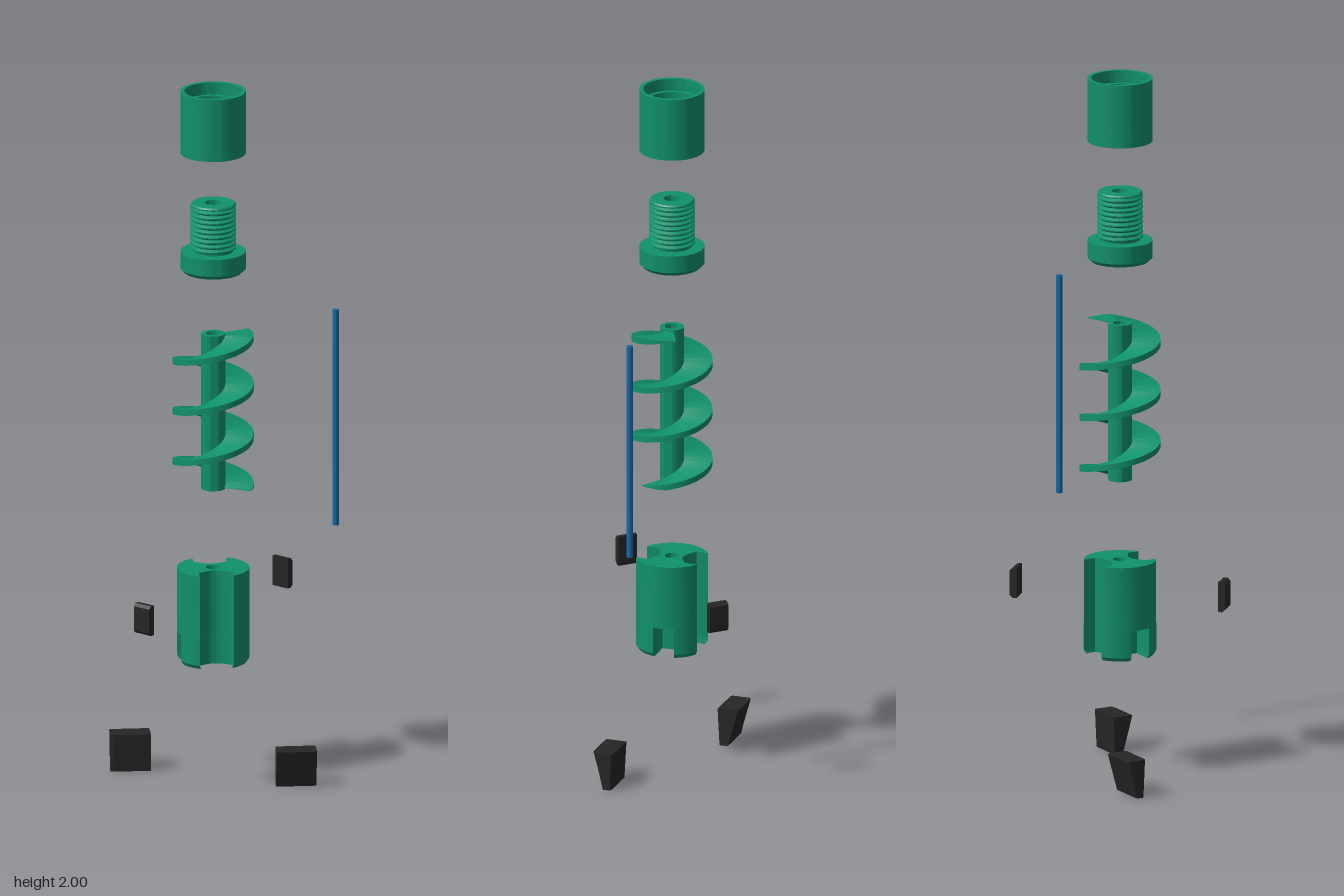
import * as THREE from 'three';
import { toCreasedNormals } from 'three/addons/utils/BufferGeometryUtils.js';

const AXIS = -0.037; // x of the common centre line
const green = new THREE.MeshStandardMaterial({ color: 0x10906c });
const blue = new THREE.MeshStandardMaterial({ color: 0x1668a5 });
const black = new THREE.MeshStandardMaterial({ color: 0x262626 });

function mesh(name, geo, mat, x = 0, y = 0, z = 0) {
  const m = new THREE.Mesh(toCreasedNormals(geo, 0.5), mat);
  m.name = name;
  m.position.set(x, y, z);
  return m;
}

// Closed [radius, height] profile, outside going up and inside coming down
function turned(name, pts) {
  const loop = [...pts, pts[0]].map(([r, y]) => new THREE.Vector2(r, y));
  return mesh(name, new THREE.LatheGeometry(loop, 64), green, AXIS);
}

// Spiral flight: a long box wound round the axis and cut flat at both ends
function flightGeometry() {
  const a0 = -0.5, a1 = Math.PI * 6 + 0.45;
  const geo = new THREE.BoxGeometry(1, 1, 1, 1, 1, 200);
  const p = geo.attributes.position;
  for (let i = 0; i < p.count; i++) {
    const a = a1 - (p.getZ(i) + 0.5) * (a1 - a0);
    const r = p.getX(i) > 0 ? 0.113 : 0.028;
    const y = 0.853 + 0.02316 * a + p.getY(i) * 0.017;
    p.setXYZ(i, r * Math.cos(a), THREE.MathUtils.clamp(y, 0.849, 1.292), -r * Math.sin(a));
  }
  geo.computeVertexNormals();
  return geo;
}

// Plan of the cutter body: two opposite flutes, and optional insert slots in the rim
function bodyShape(slotted) {
  const R = 0.101, half = [];
  const rimY = (x) => Math.sqrt(R * R - x * x);
  const arc = (from, to) => {
    for (let i = 0; i <= 16; i++) {
      const a = from + (to - from) * i / 16;
      half.push([R * Math.cos(a), R * Math.sin(a)]);
    }
  };
  const start = Math.atan2(-rimY(0.05), 0.05), end = Math.atan2(rimY(0.045), 0.045);
  if (slotted) {
    arc(start, Math.asin(-0.02 / R));
    half.push([0.024, -0.02], [0.024, 0.04]);
    arc(Math.asin(0.04 / R), end);
  } else arc(start, end);
  // concave flute floor
  for (let i = 0; i <= 12; i++) {
    const t = i / 12;
    half.push([0.045 - 0.095 * t, 0.055 - 0.022 * Math.sin(Math.PI * t)]);
  }
  const all = [...half, ...half.map(([x, y]) => [-x, -y])];
  const shape = new THREE.Shape(all.map(([x, y]) => new THREE.Vector2(x, y)));
  shape.holes.push(new THREE.Path().absarc(0, 0, 0.02, 0, Math.PI * 2, true));
  return shape;
}

function bodySection(name, slotted, y, height) {
  const geo = new THREE.ExtrudeGeometry(bodyShape(slotted), { depth: height, steps: slotted ? 8 : 1, bevelEnabled: false, curveSegments: 16 });
  if (slotted) { // chamfered foot
    const p = geo.attributes.position;
    for (let i = 0; i < p.count; i++) {
      if (p.getZ(i) < 1e-5 && Math.hypot(p.getX(i), p.getY(i)) > 0.08) p.setXY(i, p.getX(i) * 0.93, p.getY(i) * 0.93);
    }
  }
  geo.rotateX(-Math.PI / 2);
  return mesh(name, geo, green, AXIS, y);
}

// Tapered cutting insert, extruded along x with a small chamfer at its outer end
function insertGeometry() {
  const s = new THREE.Shape([[-0.104, 0.003], [-0.08, 0.003], [-0.074, 0.111], [-0.134, 0.111]].map(([x, y]) => new THREE.Vector2(x, y)));
  const geo = new THREE.ExtrudeGeometry(s, { depth: 0.112, steps: 16, bevelEnabled: false });
  const p = geo.attributes.position;
  for (let i = 0; i < p.count; i++) {
    if (p.getZ(i) > 0.111) p.setX(i, -0.1 + (p.getX(i) + 0.1) * 0.84);
  }
  return geo.rotateY(Math.PI / 2).translate(0.13, 0, 0).translate(0, -0.003 + 0.003, 0);
}

// Side pad with its outer top and bottom edges chamfered
function padGeometry() {
  const s = new THREE.Shape([[-0.01, -0.043], [0.002, -0.043], [0.01, -0.035], [0.01, 0.035], [0.002, 0.043], [-0.01, 0.043]].map(([x, y]) => new THREE.Vector2(x, y)));
  return new THREE.ExtrudeGeometry(s, { depth: 0.056, bevelEnabled: false }).translate(0, 0, -0.028);
}

export function createModel() {
  const g = new THREE.Group();
  g.name = 'explodedDrillAssembly';

  // Collar with a counterbored top
  g.add(turned('collar', [[0.068, 1.82], [0.091, 1.82], [0.091, 2], [0.08, 2], [0.08, 1.965], [0.068, 1.965]]));

  // Threaded plug with a chamfered flange
  const plug = [[0.023, 1.475], [0.08, 1.475], [0.091, 1.486], [0.091, 1.535], [0.055, 1.535]];
  for (let i = 0; i < 9; i++) {
    const y = 1.54 + i * 0.014;
    plug.push([0.055, y], [0.064, y + 0.005], [0.064, y + 0.008], [0.055, y + 0.013]);
  }
  plug.push([0.063, 1.667], [0.063, 1.671], [0.059, 1.675], [0.023, 1.675]);
  g.add(turned('threadedPlug', plug));

  // Auger
  const auger = new THREE.Group();
  auger.name = 'auger';
  auger.add(turned('augerShaft', [[0.02, 0.845], [0.034, 0.845], [0.034, 1.295], [0.02, 1.295]]));
  auger.add(mesh('augerFlight', flightGeometry(), green, AXIS));
  g.add(auger);

  // Cutter body
  const body = new THREE.Group();
  body.name = 'cutterBody';
  body.add(bodySection('slottedFoot', true, 0.345, 0.087));
  body.add(bodySection('flutedBody', false, 0.432, 0.183));
  g.add(body);

  // Guide rod
  g.add(mesh('guideRod', new THREE.CylinderGeometry(0.009, 0.009, 0.626, 24), blue, 0.305, 1.042, 0));

  // Paired pads and inserts, repeated half a turn round the axis
  for (let i = 0; i < 2; i++) {
    const pair = new THREE.Group();
    pair.name = i ? 'rightCutters' : 'leftCutters';
    pair.position.x = AXIS;
    pair.rotation.y = i * Math.PI;
    const pad = mesh('sidePad', padGeometry(), black, 0.213, 0.533, -0.213);
    pad.rotation.y = Math.PI / 4;
    pair.add(pad, mesh('cuttingInsert', insertGeometry(), black, -AXIS, 0, 0));
    g.add(pair);
  }
  g.position.y = -0.003;
  const root = new THREE.Group();
  root.name = 'model';
  root.add(g);
  return root;
}
